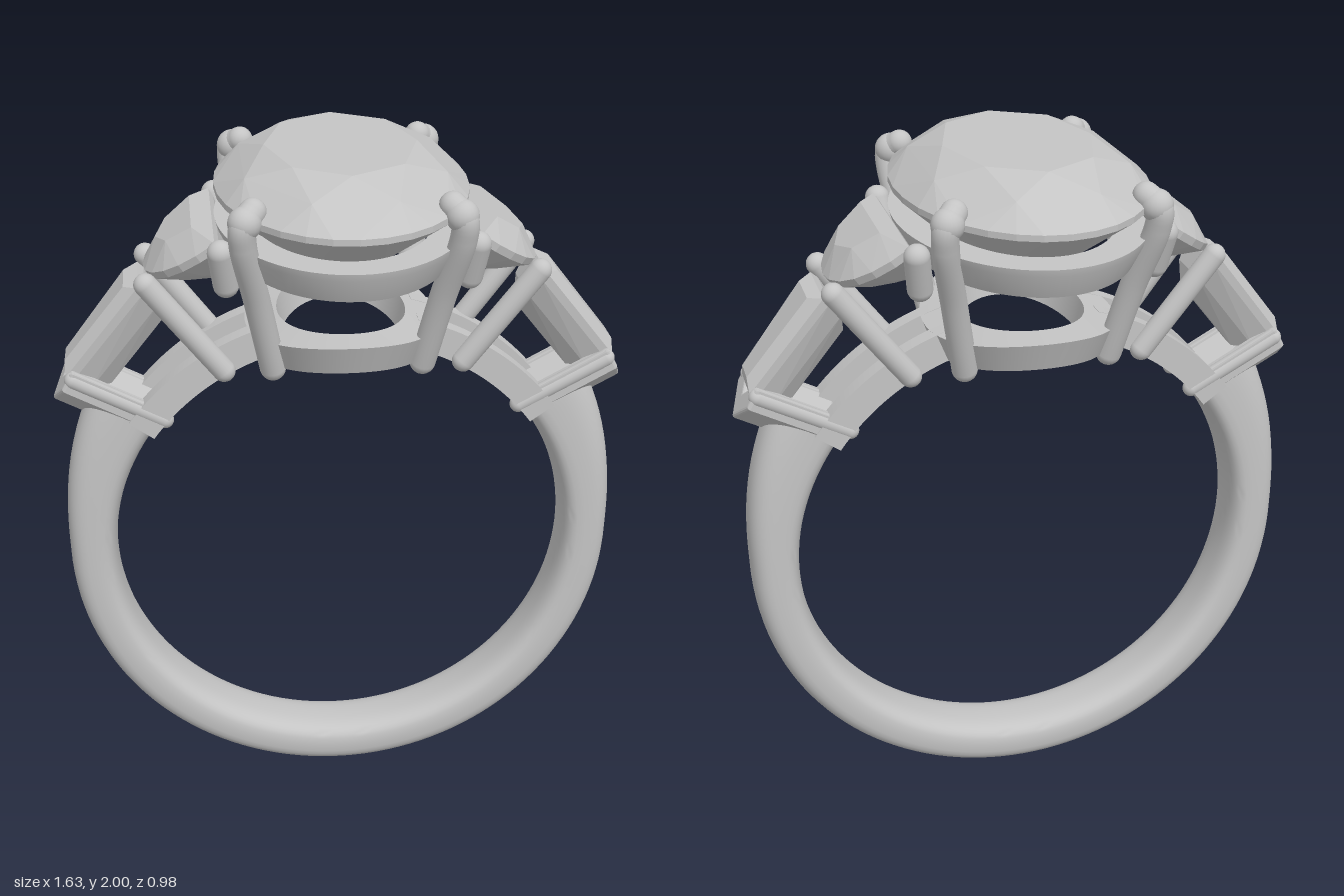
import * as THREE from 'three';
import { toCreasedNormals } from 'three/addons/utils/BufferGeometryUtils.js';
import { ConvexGeometry } from 'three/addons/geometries/ConvexGeometry.js';

const V = (x, y, z) => new THREE.Vector3(x, y, z);
const RAD = Math.PI / 180;
const CY = 0.8, R_IN = 0.665; // centre height and radius of the finger hole

const metal = new THREE.MeshStandardMaterial({ color: 0xc4c4c4 });
metal.name = 'silver grey';

function add(parent, name, geometry) {
  const mesh = new THREE.Mesh(geometry, metal);
  mesh.name = name;
  parent.add(mesh);
  return mesh;
}

// Surface through n cross-sections of m points each; open lofts get end caps
function loft(n, m, point, closed, crease) {
  const pos = [], idx = [];
  for (let i = 0; i < n; i++) for (let j = 0; j < m; j++) pos.push(...point(i, j).toArray());
  for (let i = 0; i < (closed ? n : n - 1); i++) {
    const k = (i + 1) % n;
    for (let j = 0; j < m; j++) {
      const l = (j + 1) % m;
      idx.push(i * m + j, k * m + j, k * m + l, i * m + j, k * m + l, i * m + l);
    }
  }
  if (!closed) {
    const e = (n - 1) * m;
    for (let j = 1; j < m - 1; j++) idx.push(0, j, j + 1, e, e + j + 1, e + j);
  }
  const g = new THREE.BufferGeometry();
  g.setAttribute('position', new THREE.Float32BufferAttribute(pos, 3));
  g.setIndex(idx);
  return toCreasedNormals(g, crease);
}

// Oval ring; section rows are [half width x, half width z, y]
function ovalRing(section, bend) {
  const n = 72;
  return loft(n, section.length, (i, j) => {
    const [a, b, y] = section[j], t = (i / n) * Math.PI * 2;
    const x = a * Math.cos(t), z = b * Math.sin(t);
    return V(x, bend ? CY + Math.sqrt((y - CY) ** 2 - x * x) : y, z);
  }, true, 0.6);
}

// Round-ended bar between two points
function bar(parent, name, a, b, r) {
  const d = b.clone().sub(a);
  const mesh = add(parent, name, new THREE.CapsuleGeometry(r, d.length(), 8, 20));
  mesh.position.copy(a).add(b).multiplyScalar(0.5);
  mesh.quaternion.setFromUnitVectors(V(0, 1, 0), d.normalize());
}

// Local frame tilted down and outwards: x along the slope, y out of it
function slope(parent, name, a, b) {
  const g = new THREE.Group();
  g.name = name;
  g.position.copy(a);
  g.rotation.z = Math.atan2(b.y - a.y, b.x - a.x);
  parent.add(g);
  return g;
}

function shank() {
  const n = 97, m = 32;
  const pw = (v, e) => Math.sign(v) * Math.abs(v) ** e;
  return loft(n, m, (i, j) => {
    const t = (143 + (254 * i) / (n - 1)) * RAD, s = (j / m) * Math.PI * 2;
    const out = 0.803 + 0.075 * Math.max(0, Math.sin(t) / 0.6) ** 1.5;
    const mid = R_IN + 0.06, c = pw(Math.cos(s), 0.65);
    const r = mid + c * (c > 0 ? out - mid : 0.06);
    return V(r * Math.cos(t), CY + r * Math.sin(t), 0.094 * pw(Math.sin(s), 0.75));
  }, false, 0.9);
}

function centreStone() {
  const pts = [];
  const row = (count, scale, y, shift = 0) => {
    for (let i = 0; i < count; i++) {
      const t = ((i + shift) / count) * Math.PI * 2;
      pts.push(V(0.344 * scale * Math.cos(t), y, 0.488 * scale * Math.sin(t)));
    }
  };
  row(8, 0.6, 2);            // table
  row(8, 0.84, 1.958, 0.5);  // crown facets
  row(32, 1, 1.9);           // girdle
  row(32, 1, 1.883);
  row(8, 0.66, 1.775, 0.5);  // pavilion facets
  pts.push(V(0, 1.59, 0));
  return new ConvexGeometry(pts);
}

function halfMoonStone() {
  const pts = [];
  const row = (count, len, wid, x0, y) => {
    for (let i = 0; i <= count; i++) {
      const t = (i / count - 0.5) * Math.PI;
      pts.push(V(x0 + len * Math.cos(t), y, wid * Math.sin(t)));
    }
  };
  row(12, 0.235, 0.23, 0, 0.012);
  row(12, 0.235, 0.23, 0, -0.01);
  row(4, 0.12, 0.13, 0.04, 0.055);
  row(6, 0.15, 0.15, 0.02, -0.075);
  row(2, 0.05, 0.05, 0.05, -0.14);
  return new ConvexGeometry(pts);
}

function baguetteStone() {
  const pts = [];
  // rows: start, end, half width at each, height
  for (const [a, b, wa, wb, y] of [
    [0.03, 0.31, 0.065, 0.043, 0.04], [0, 0.34, 0.102, 0.072, 0.015],
    [0, 0.34, 0.102, 0.072, -0.008], [0.02, 0.33, 0.075, 0.055, -0.065], [0.06, 0.3, 0.03, 0.02, -0.11],
  ]) for (const s of [1, -1]) pts.push(V(a, y, s * wa), V(b, y, s * wb));
  return new ConvexGeometry(pts);
}

// Everything on one shoulder of the ring
function shoulder(name) {
  const g = new THREE.Group();
  g.name = name;

  add(slope(g, 'halfMoonSetting', V(0.345, 1.8, 0), V(0.545, 1.66, 0)), 'halfMoonStone', halfMoonStone());
  add(slope(g, 'baguetteSetting', V(0.55, 1.635, 0), V(0.76, 1.37, 0)), 'baguetteStone', baguetteStone());

  // chevron prong around the narrow end of the baguette
  const shape = new THREE.Shape([
    [-0.015, -0.09], [0.03, -0.09], [0.095, 0], [0.03, 0.09],
    [-0.015, 0.09], [-0.015, 0.065], [0.04, 0], [-0.015, -0.065],
  ].map(([x, y]) => new THREE.Vector2(x, y)));
  const chevron = add(g, 'chevronProng', new THREE.ExtrudeGeometry(shape, {
    depth: 0.25, bevelThickness: 0.01, bevelSize: 0.01, bevelSegments: 3,
  }));
  const along = V(0.88, 0.475, 0).normalize();
  const down = V(along.y, -along.x, 0);
  chevron.applyMatrix4(new THREE.Matrix4().makeBasis(down, V(0, 0, -1), along).setPosition(0.54, 1.256, 0));

  for (const s of [1, -1]) {
    // curved rail between shank and gallery
    add(g, 'galleryRail', loft(20, 4, (i, j) => {
      const t = (36 + 2 * i) * RAD, r = j === 0 || j === 1 ? 0.75 : R_IN;
      const z = s * 0.078 + (j === 1 || j === 2 ? 0.026 : -0.026);
      return V(r * Math.cos(t), CY + r * Math.sin(t), z);
    }, false, 0.5));
    bar(g, 'chevronArm', V(0.505, 1.24, s * 0.082), V(0.752, 1.372, s * 0.082), 0.025);
    bar(g, 'baguetteProng', V(0.335, 1.395, s * 0.108), V(0.538, 1.66, s * 0.118), 0.032);
    bar(g, 'halfMoonProng', V(0.325, 1.69, s * 0.215), V(0.338, 1.79, s * 0.248), 0.035);

    // tall claw holding the centre stone
    const path = new THREE.CatmullRomCurve3([
      V(0.205, 1.44, s * 0.2), V(0.247, 1.66, s * 0.265), V(0.283, 1.84, s * 0.335),
      V(0.282, 1.895, s * 0.345), V(0.255, 1.922, s * 0.315),
    ]);
    add(g, 'centreProng', new THREE.TubeGeometry(path, 40, 0.036, 20));
    add(g, 'prongFoot', new THREE.SphereGeometry(0.036, 20, 12)).position.copy(path.getPoint(0));
    add(g, 'prongTip', new THREE.SphereGeometry(0.036, 20, 12)).position.copy(path.getPoint(1));
    add(g, 'prongHead', new THREE.SphereGeometry(0.044, 20, 12)).position.set(0.277, 1.9, s * 0.338);
  }
  return g;
}

export function createModel() {
  const ring = new THREE.Group();
  ring.name = 'threeStoneRing';
  add(ring, 'shank', shank());
  add(ring, 'centreStone', centreStone());
  add(ring, 'upperGallery', ovalRing([
    [0.345, 0.49, 1.81], [0.34, 0.485, 1.79], [0.305, 0.45, 1.722], [0.24, 0.38, 1.722], [0.255, 0.395, 1.81],
  ], false));
  add(ring, 'lowerGallery', ovalRing([
    [0.27, 0.35, 1.55], [0.24, 0.315, 1.465], [0.165, 0.235, 1.465], [0.18, 0.25, 1.55],
  ], true));

  const left = shoulder('leftShoulder');
  const right = shoulder('rightShoulder');
  right.rotation.y = Math.PI;
  ring.add(left, right);
  return ring;
}
